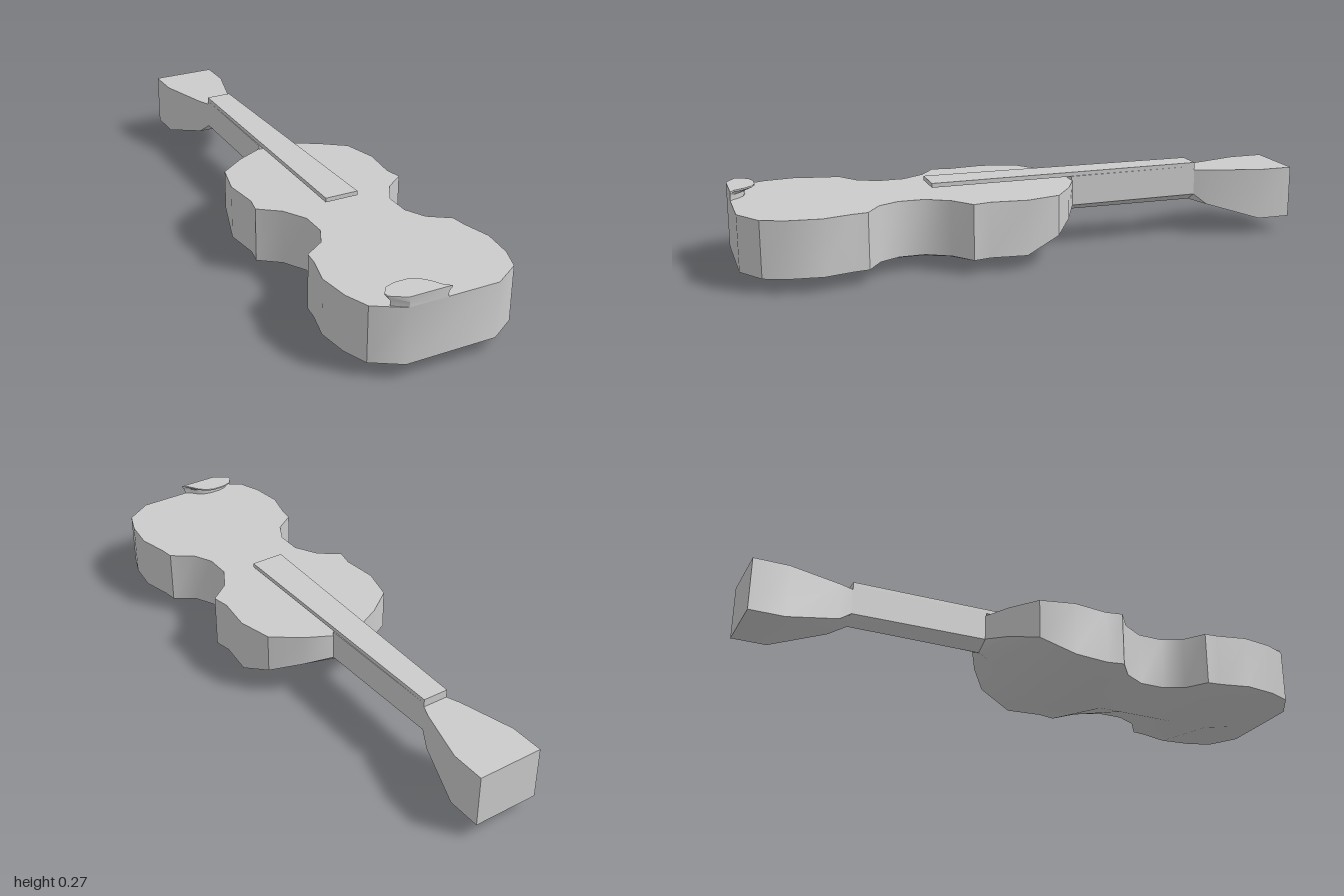
import * as THREE from 'three';
import { toCreasedNormals } from 'three/addons/utils/BufferGeometryUtils.js';

const material = new THREE.MeshStandardMaterial({ color: 0xcccccc });

// Skins a list of closed rings and caps both ends (rings run clockwise seen from outside the first cap).
function loft(name, rings) {
  const pos = [];
  const tri = (a, b, c) => pos.push(...a, ...b, ...c);
  const n = rings[0].length;
  for (let i = 0; i < rings.length - 1; i++) {
    for (let j = 0; j < n; j++) {
      const k = (j + 1) % n;
      const [a, b, c, d] = [rings[i][j], rings[i][k], rings[i + 1][k], rings[i + 1][j]];
      tri(a, b, d);
      tri(b, c, d);
    }
  }
  const first = rings[0], last = rings[rings.length - 1];
  for (let j = 1; j < n - 1; j++) {
    tri(first[0], first[j + 1], first[j]);
    tri(last[0], last[j], last[j + 1]);
  }
  const geometry = new THREE.BufferGeometry();
  geometry.setAttribute('position', new THREE.Float32BufferAttribute(pos, 3));
  const mesh = new THREE.Mesh(toCreasedNormals(geometry, 0.6), material);
  mesh.name = name;
  return mesh;
}

// Cross-section with a flat top, straight sides and a V-shaped underside.
const section = (z, w, top, edge, ridge) =>
  [[w, top, z], [w, edge, z], [0, ridge, z], [-w, edge, z], [-w, top, z]];

export function createModel() {
  const group = new THREE.Group();
  group.name = 'violin';

  // Body: half-widths along its length; the keel flattens at the ends
  const outline = [
    [1, 0.155], [0.94, 0.25], [0.86, 0.28], [0.75, 0.293], [0.65, 0.268], [0.6, 0.262],
    [0.55, 0.19], [0.48, 0.155], [0.39, 0.155], [0.31, 0.2], [0.255, 0.272], [0.195, 0.26],
    [0.07, 0.273], [-0.05, 0.243], [-0.12, 0.15], [-0.168, 0.058],
  ];
  group.add(loft('body', outline.map(([z, w]) => {
    const rise = Math.max(0, (0.07 - z) / 0.238);
    const edge = 0.05 + 0.1 * rise;
    const ridge = z > 0.75 ? (z - 0.75) * 0.2 : 0.122 * rise;
    return section(z, w, 0.24, edge, ridge);
  })));

  // Neck
  group.add(loft('neck', [
    section(-0.165, 0.056, 0.254, 0.15, 0.122),
    section(-0.645, 0.045, 0.254, 0.15, 0.122),
  ]));

  // Head, flaring from the neck to a square block
  group.add(loft('head', [
    section(-0.645, 0.045, 0.24, 0.15, 0.122),
    section(-0.69, 0.063, 0.24, 0.113, 0.112),
    section(-0.88, 0.115, 0.24, 0.056, 0.056),
    section(-1, 0.115, 0.24, 0.056, 0.056),
  ]));

  // Fingerboard, floating above the body
  group.add(loft('fingerboard', [
    section(0.34, 0.059, 0.268, 0.253, 0.253),
    section(-0.645, 0.045, 0.268, 0.253, 0.253),
  ]));

  // Chin rest: narrow foot under an overhanging plate
  const plate = [
    [-0.205, 0.968], [-0.155, 1], [-0.01, 1], [-0.03, 0.985], [-0.05, 0.95],
    [-0.075, 0.922], [-0.105, 0.91], [-0.15, 0.91], [-0.185, 0.922], [-0.205, 0.95],
  ];
  const foot = plate.map(([x, z], i) => [-0.12 + (x + 0.12) * 0.9, i > 2 ? 1 - (1 - z) * 0.62 : z]);
  const at = (ring, y) => ring.map(([x, z]) => [x, y, z]);
  group.add(loft('chinRest', [at(foot, 0.24), at(foot, 0.257), at(plate, 0.269), at(plate, 0.274)]));

  return group;
}
